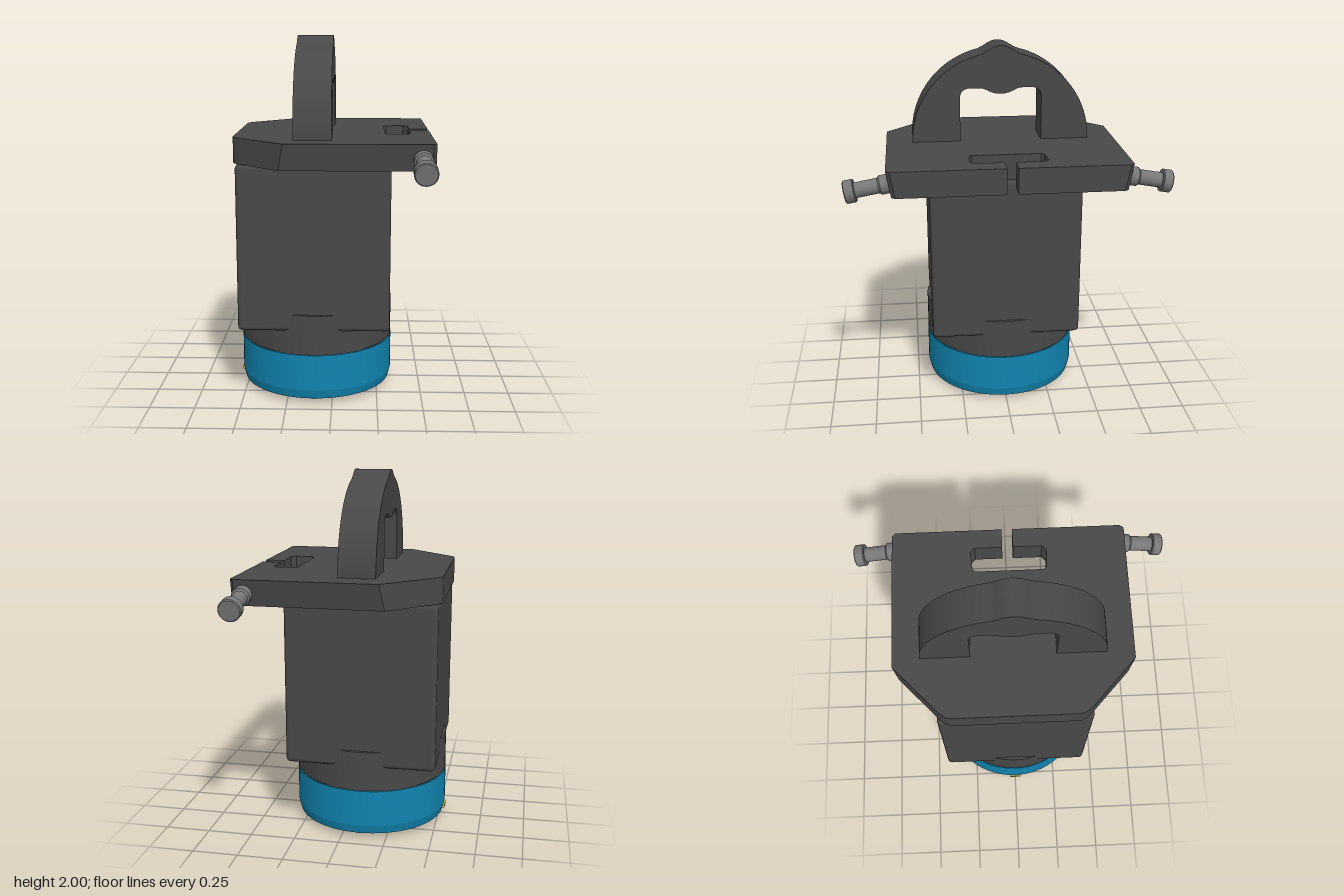
import * as THREE from 'three';
import { toCreasedNormals } from 'three/addons/utils/BufferGeometryUtils.js';
import { RoundedBoxGeometry } from 'three/addons/geometries/RoundedBoxGeometry.js';

const AXIS_X = -0.1; // centre line of body and drum

const paint = (color) => new THREE.MeshStandardMaterial({ color });
const dark = paint(0x484848);
const steel = paint(0x777777);
const blue = paint(0x1184b0);
const yellow = paint(0xd8c850);

function part(parent, name, geometry, material, x = 0, y = 0, z = 0) {
  const mesh = new THREE.Mesh(geometry, material);
  mesh.name = name;
  mesh.position.set(x, y, z);
  parent.add(mesh);
  return mesh;
}

// Solid of revolution from [radius, height] points, listed bottom to top
function turned(points, segments = 72) {
  const profile = points.map(([r, y]) => new THREE.Vector2(r, y));
  return toCreasedNormals(new THREE.LatheGeometry(profile, segments), 0.15);
}

// Top plate: clipped back corners, keyhole slot, ends sloping inwards below
function plateGeometry() {
  const s = new THREE.Shape();
  s.moveTo(-0.53, -0.33);
  s.quadraticCurveTo(-0.53, -0.37, -0.47, -0.42);
  s.lineTo(-0.24, -0.635);
  s.lineTo(0.515, -0.635);
  s.lineTo(0.533, -0.615);
  s.lineTo(0.533, -0.023);
  s.lineTo(0.425, -0.023);
  s.lineTo(0.425, -0.18);
  s.lineTo(0.4, -0.205);
  s.lineTo(0.3, -0.2);
  s.lineTo(0.285, -0.185);
  s.lineTo(0.285, 0.185);
  s.lineTo(0.3, 0.2);
  s.lineTo(0.4, 0.21);
  s.lineTo(0.425, 0.185);
  s.lineTo(0.425, 0.035);
  s.lineTo(0.533, 0.035);
  s.lineTo(0.533, 0.615);
  s.lineTo(0.515, 0.635);
  s.lineTo(-0.24, 0.635);
  s.lineTo(-0.47, 0.42);
  s.quadraticCurveTo(-0.53, 0.37, -0.53, 0.33);
  s.closePath();
  const g = new THREE.ExtrudeGeometry(s, { depth: 0.14, bevelEnabled: false, curveSegments: 8 });
  g.rotateX(-Math.PI / 2);
  const p = g.attributes.position;
  for (let i = 0; i < p.count; i++) {
    if (p.getY(i) < 0.07 && Math.abs(p.getZ(i)) > 0.6) {
      p.setZ(i, p.getZ(i) - Math.sign(p.getZ(i)) * 0.025);
      if (p.getX(i) < 0) p.setX(i, p.getX(i) - 0.027);
    }
  }
  return toCreasedNormals(g, 0.3);
}

// Arched handle with a crest on top and a matching bulge inside the opening
function handleGeometry() {
  const s = new THREE.Shape();
  const R = 0.49;
  const shoulder = Math.acos(0.12 / R);
  s.moveTo(0.225, 0);
  s.lineTo(R, 0);
  s.absarc(0, 0, R, 0, shoulder, false);
  s.bezierCurveTo(0.07, 0.49, 0.05, 0.525, 0, 0.525);
  s.bezierCurveTo(-0.05, 0.525, -0.07, 0.49, -0.12, R * Math.sin(shoulder));
  s.absarc(0, 0, R, Math.PI - shoulder, Math.PI, false);
  s.lineTo(-0.225, 0);
  s.lineTo(-0.225, 0.235);
  s.quadraticCurveTo(-0.225, 0.295, -0.165, 0.295);
  s.lineTo(-0.12, 0.295);
  s.bezierCurveTo(-0.08, 0.295, -0.06, 0.262, 0, 0.262);
  s.bezierCurveTo(0.06, 0.262, 0.08, 0.295, 0.12, 0.295);
  s.lineTo(0.165, 0.295);
  s.quadraticCurveTo(0.225, 0.295, 0.225, 0.235);
  s.closePath();
  const g = new THREE.ExtrudeGeometry(s, { depth: 0.2, bevelEnabled: false, curveSegments: 24 });
  g.rotateY(Math.PI / 2);
  return toCreasedNormals(g, 0.5);
}

// Side bolt pointing along its own +y: collar, shank, head
function makeBolt(name, side) {
  const bolt = new THREE.Group();
  bolt.name = name;
  part(bolt, 'boltCollar', turned([[0, -0.02], [0.05, -0.02], [0.05, 0.035], [0.04, 0.045], [0, 0.045]], 32), steel);
  part(bolt, 'boltShank', new THREE.CylinderGeometry(0.04, 0.04, 0.15, 32), steel, 0, 0.1, 0);
  part(bolt, 'boltHead', turned([[0, 0.165], [0.055, 0.165], [0.06, 0.17], [0.06, 0.215], [0.055, 0.22], [0, 0.22]], 32), steel);
  bolt.position.set(0.465, 1.395, side * 0.628);
  bolt.rotation.x = side * (Math.PI / 2 + 0.18);
  return bolt;
}

export function createModel() {
  const model = new THREE.Group();
  model.name = 'liftingUnit';

  // Body, top plate and handle
  part(model, 'body', new RoundedBoxGeometry(0.83, 0.92, 0.83, 4, 0.025), dark, AXIS_X, 0.875, 0);
  part(model, 'topPlate', plateGeometry(), dark, 0, 1.335, 0);
  part(model, 'handle', handleGeometry(), dark, -0.2, 1.475, 0);
  model.add(makeBolt('leftBolt', 1), makeBolt('rightBolt', -1));

  // Round base
  const base = new THREE.Group();
  base.name = 'base';
  base.position.x = AXIS_X;
  model.add(base);
  part(base, 'collar', turned([[0, 0.29], [0.433, 0.29], [0.433, 0.51], [0, 0.51]]), dark);
  part(base, 'grooveRing', new THREE.CylinderGeometry(0.427, 0.427, 0.02, 72, 1, true), dark, 0, 0.287, 0);
  part(base, 'drum', turned([[0, 0.03], [0.422, 0.03], [0.435, 0.08], [0.435, 0.284], [0, 0.284]]), blue);
  part(base, 'discNeck', new THREE.CylinderGeometry(0.25, 0.25, 0.02, 64), steel, 0, 0.025, 0);
  part(base, 'bottomDisc', new THREE.CylinderGeometry(0.365, 0.365, 0.008, 72), steel, 0, 0.016, 0);

  // Retaining clip under the disc
  const clip = new THREE.TorusGeometry(0.063, 0.007, 8, 32, Math.PI * 1.6);
  clip.rotateX(Math.PI / 2);
  part(base, 'retainingClip', clip, steel, 0, 0.007, 0);

  // Ring of screws in the drum's underside
  const screw = new THREE.CylinderGeometry(0.022, 0.022, 0.012, 16);
  for (let i = 0; i < 8; i++) {
    const a = (i * Math.PI) / 4;
    part(base, 'screw', screw, steel, 0.393 * Math.cos(a), 0.03, 0.393 * Math.sin(a));
  }

  // Small marker on the drum's right side
  part(base, 'marker', new THREE.BoxGeometry(0.025, 0.018, 0.07), yellow, -0.427, 0.055, 0);

  return model;
}
